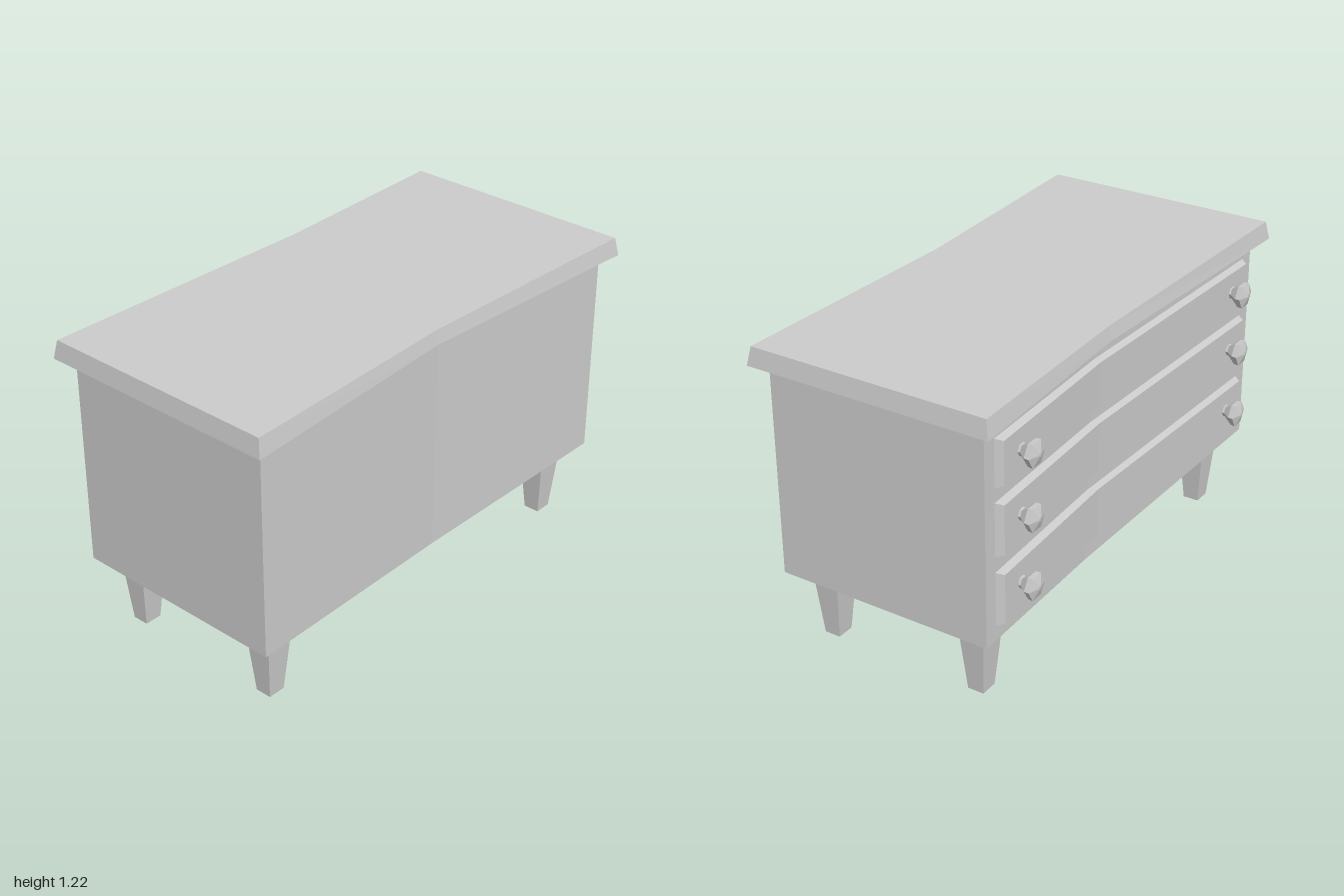
import * as THREE from 'three';

const material = new THREE.MeshStandardMaterial({ color: 0xcccccc, flatShading: true });

function add(parent, name, geometry, x = 0, y = 0, z = 0) {
  const mesh = new THREE.Mesh(geometry, material);
  mesh.name = name;
  mesh.position.set(x, y, z);
  parent.add(mesh);
  return mesh;
}

// Solid lofted along x; each section has four corners:
// front low, back low, back high, front high.
function loft(sections) {
  const positions = [];
  const quad = (a, b, c, d) => positions.push(...a, ...b, ...c, ...a, ...c, ...d);
  for (let i = 0; i < sections.length - 1; i++) {
    const a = sections[i], b = sections[i + 1];
    for (let j = 0; j < 4; j++) {
      const k = (j + 1) % 4;
      quad(a[j], a[k], b[k], b[j]);
    }
  }
  const first = sections[0], last = sections[sections.length - 1];
  quad(first[3], first[2], first[1], first[0]);
  quad(...last);
  const geometry = new THREE.BufferGeometry();
  geometry.setAttribute('position', new THREE.Float32BufferAttribute(positions, 3));
  geometry.computeVertexNormals();
  return geometry;
}

// Square tapered leg, wide at the top
function legGeometry() {
  const geometry = new THREE.BoxGeometry(0.126, 0.3, 0.116);
  const p = geometry.attributes.position;
  for (let i = 0; i < p.count; i++) {
    if (p.getY(i) < 0) p.setXYZ(i, p.getX(i) * 0.57, p.getY(i), p.getZ(i) * 0.57);
  }
  geometry.computeVertexNormals();
  return geometry.translate(0, 0.15, 0);
}

// Six-sided faceted knob pointing to -z
function knobGeometry() {
  const profile = [[0, 0], [0.024, 0], [0.024, 0.018], [0.05, 0.05], [0.052, 0.07], [0.008, 0.084], [0, 0.084]]
    .map(([r, h]) => new THREE.Vector2(r, h));
  return new THREE.LatheGeometry(profile, 6).rotateY(Math.PI / 2).rotateX(-Math.PI / 2);
}

export function createModel() {
  const model = new THREE.Group();
  model.name = 'chestOfDrawers';

  // Carcass, pinched and sagging at the middle
  const bodyEnd = x => [[x, 0.29, 0.47], [x, 0.29, -0.425], [x, 1.146, -0.425], [x, 1.146, 0.47]];
  add(model, 'body', loft([
    bodyEnd(-0.945),
    [[0, 0.266, 0.438], [0.25, 0.268, -0.393], [0.2, 1.164, -0.393], [0, 1.164, 0.438]],
    bodyEnd(0.945),
  ]));

  // Overhanging top with sloped edges
  const topEnd = s => [[s, 1.145, 0.522], [s, 1.145, -0.479], [s * 0.988, 1.218, -0.466], [s * 0.988, 1.218, 0.509]];
  add(model, 'top', loft([
    topEnd(-1),
    [[-0.05, 1.163, 0.481], [0.18, 1.163, -0.45], [0.18, 1.218, -0.439], [-0.05, 1.218, 0.471]],
    topEnd(1),
  ]));

  // Legs
  const leg = legGeometry();
  for (const x of [-0.805, 0.805]) {
    for (const z of [0.348, -0.303]) add(model, 'leg', leg, x, 0, z);
  }

  // Bevelled drawers, each with two knobs
  const knob = knobGeometry();
  const drawers = [['bottom', 0.345, 0.57, 0.47], ['middle', 0.625, 0.845, 0.745], ['top', 0.893, 1.09, 0.995]];
  for (const [name, low, high, knobY] of drawers) {
    const drawer = new THREE.Group();
    drawer.name = `${name}Drawer`;
    const section = (x, inset, shift) => [
      [x, low, -0.41 + shift], [x - inset, low + 0.013, -0.45 + shift],
      [x - inset, high - 0.013, -0.45 + shift], [x, high, -0.41 + shift],
    ];
    add(drawer, 'drawerFront', loft([
      section(-0.89, -0.025, 0),
      section(0.2, 0, 0.032),
      section(0.89, 0.025, 0),
    ]));
    for (const x of [-0.755, 0.755]) add(drawer, 'knob', knob, x, knobY, -0.437);
    model.add(drawer);
  }
  return model;
}
